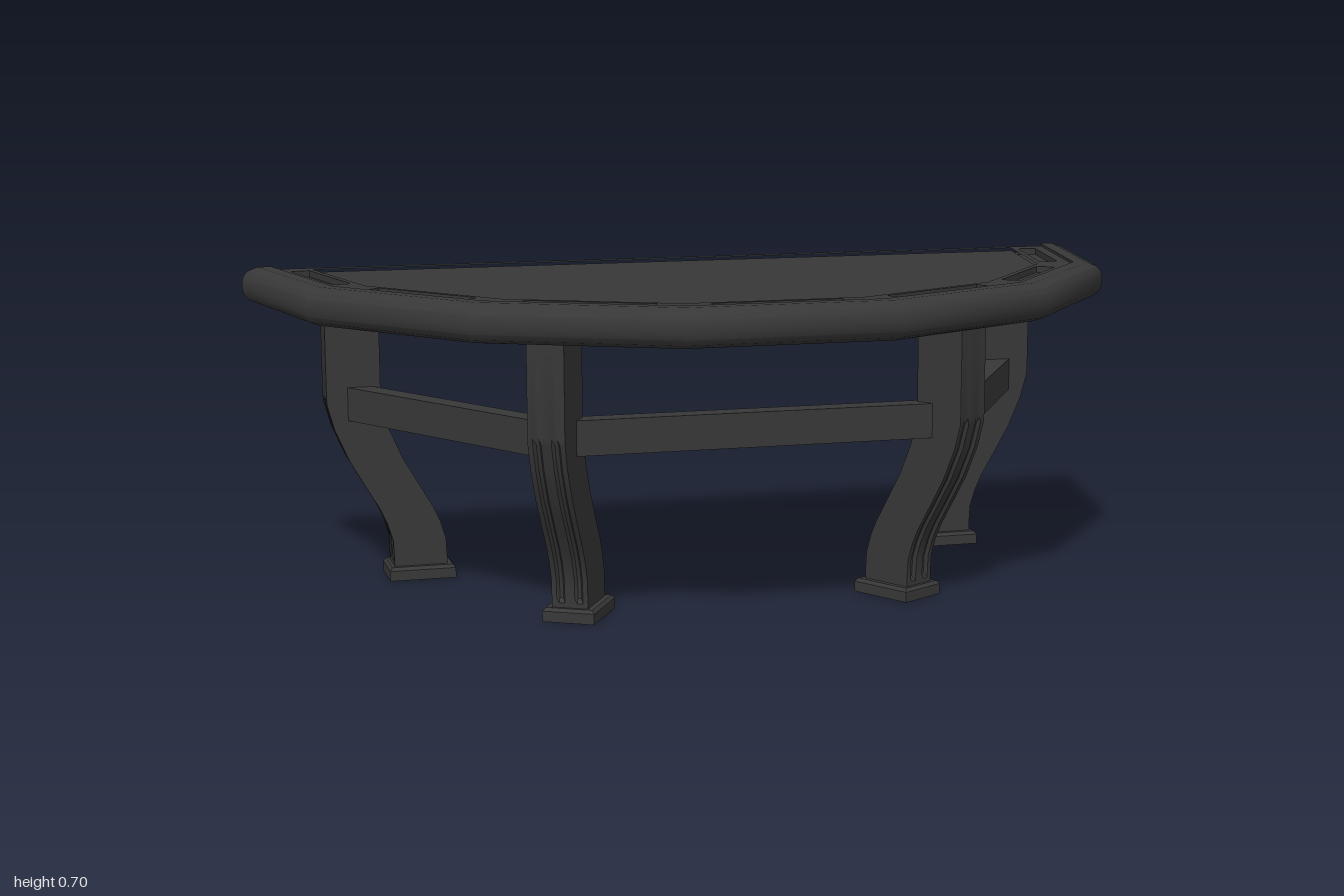
import * as THREE from 'three';
import { toCreasedNormals } from 'three/addons/utils/BufferGeometryUtils.js';

const material = new THREE.MeshStandardMaterial({ color: 0x383838 });

// Plan outline of the top as (x, z), from the back left corner round the front
const half = [[1, -0.49], [0.905, -0.06], [0.624, 0.29], [0.2275, 0.49]];
const outline = [...half, ...half.map(([x, z]) => [-x, z]).reverse()];
const N = outline.length;

// Each edge with its direction and inward normal (the last edge is the straight back)
const edges = outline.map(([x, z], i) => {
  const [x2, z2] = outline[(i + 1) % N];
  const len = Math.hypot(x2 - x, z2 - z);
  const dx = (x2 - x) / len, dz = (z2 - z) / len;
  return { x, z, dx, dz, nx: -dz, nz: dx, mx: (x + x2) / 2, mz: (z + z2) / 2 };
});

// Outline moved inward by d, and by back along the straight edge
function inset(d, back = 0) {
  return edges.map((e, i) => {
    const p = edges[(i + N - 1) % N];
    const de = i === N - 1 ? back : d, dp = i === 0 ? back : d;
    const ex = e.x + e.nx * de, ez = e.z + e.nz * de;
    const px = p.x + p.nx * dp, pz = p.z + p.nz * dp;
    const t = ((ex - px) * e.dz - (ez - pz) * e.dx) / (p.dx * e.dz - p.dz * e.dx);
    return [px + p.dx * t, pz + p.dz * t];
  });
}

// Closed body through a row of equal rings of [x, y, z]
function loft(rings, crease = 0.6) {
  const n = rings[0].length, last = rings.length - 1;
  const verts = rings.flat(2), index = [];
  for (let i = 0; i < last; i++) for (let j = 0; j < n; j++) {
    const a = i * n + j, b = i * n + (j + 1) % n;
    index.push(a, b, a + n, b, b + n, a + n);
  }
  [0, last].forEach((r, end) => {
    const c = verts.length / 3;
    for (let k = 0; k < 3; k++) verts.push(rings[r].reduce((s, p) => s + p[k], 0) / n);
    for (let j = 0; j < n; j++) {
      const a = r * n + j, b = r * n + (j + 1) % n;
      index.push(c, end ? a : b, end ? b : a);
    }
  });
  const g = new THREE.BufferGeometry();
  g.setAttribute('position', new THREE.Float32BufferAttribute(verts, 3));
  g.setIndex(index);
  return toCreasedNormals(g, crease);
}

// Flat plate between two heights, with optional holes
function plate(points, y0, y1, holes = []) {
  const toV2 = (list) => list.map(([x, z]) => new THREE.Vector2(x, -z));
  const shape = new THREE.Shape(toV2(points));
  holes.forEach((h) => shape.holes.push(new THREE.Path(toV2(h))));
  return new THREE.ExtrudeGeometry(shape, { depth: y1 - y0, bevelEnabled: false })
    .rotateX(-Math.PI / 2).translate(0, y0, 0);
}

function add(parent, name, geometry) {
  const mesh = new THREE.Mesh(geometry, material);
  mesh.name = name;
  parent.add(mesh);
  return mesh;
}

// S-curved leg, fluted on its outer and inner faces; local +x points outward
function legGeometry() {
  const depth = 0.06, flute = 0.007;
  const flutes = [[0.04, 0], [0.029, 0], [0.024, 1], [0.016, 1], [0.011, 0]];
  const face = [...flutes, ...flutes.map(([w, g]) => [-w, g]).reverse()];
  // rows of height, outward shift, flute amount
  const rows = [
    [0.02, -0.142, 0], [0.04, -0.142, 0], [0.05, -0.142, 1], [0.09, -0.14, 1],
    [0.13, -0.128, 1], [0.165, -0.112, 1], [0.22, -0.08, 1], [0.28, -0.046, 1],
    [0.35, -0.016, 1], [0.405, -0.001, 1], [0.418, 0, 0], [0.64, 0, 0],
  ];
  return loft(rows.map(([y, s, f]) => {
    const outer = face.map(([w, g]) => [s + depth - g * flute * f, y, w]);
    const inner = face.map(([w, g]) => [s - depth + g * flute * f, y, w]).reverse();
    return [...outer, ...inner];
  }));
}

// Foot block with a chamfered top edge
function footGeometry() {
  return loft([[0, 0], [0.023, 0], [0.03, 0.006]].map(([y, c]) => {
    const a = 0.075 - c, b = 0.0575 - c;
    return [[a, y, b], [a, y, -b], [-a, y, -b], [-a, y, b]];
  }), 0.3);
}

export function createModel() {
  const model = new THREE.Group();
  model.name = 'halfRoundTable';

  // Table top: slab, border with slots, centre panel, rounded rim
  const top = new THREE.Group();
  top.name = 'tableTop';
  model.add(top);
  const slots = edges.slice(0, N - 1).map((e) => {
    const cx = e.mx + e.nx * 0.11, cz = e.mz + e.nz * 0.11;
    return [[1, 1], [1, -1], [-1, -1], [-1, 1]].map(([u, v]) => [
      cx + e.dx * u * 0.138 + e.nx * v * 0.021,
      cz + e.dz * u * 0.138 + e.nz * v * 0.021,
    ]);
  });
  add(top, 'slab', plate(inset(0.05, 0.003), 0.635, 0.682));
  add(top, 'border', plate(inset(0.05, 0.003), 0.682, 0.696, [inset(0.145, 0.033), ...slots]));
  add(top, 'centrePanel', plate(inset(0.145, 0.033), 0.682, 0.69));
  const rimProfile = [
    [0.035, 0.62], [0.012, 0.629], [0.003, 0.641], [0, 0.655], [0, 0.667],
    [0.003, 0.681], [0.012, 0.693], [0.035, 0.702], [0.065, 0.702], [0.065, 0.62],
  ];
  const rimLoops = rimProfile.map(([d]) => inset(d));
  add(top, 'rim', loft(outline.map((_, i) =>
    rimProfile.map(([, y], j) => [rimLoops[j][i][0], y, rimLoops[j][i][1]])), 0.55));

  // Legs
  const legShape = legGeometry(), footShape = footGeometry();
  const frontPos = [0.4325, 0.22], backPos = [0.777, -0.366];
  for (const side of [1, -1]) {
    const label = side > 0 ? 'Left' : 'Right';
    for (const [name, [x, z], angle] of [['front', frontPos, Math.PI / 3], ['back', backPos, 0]]) {
      const leg = new THREE.Group();
      leg.name = `${name}${label}Leg`;
      leg.position.set(side * x, 0, z);
      leg.rotation.y = side > 0 ? -angle : angle - Math.PI;
      add(leg, 'legPost', legShape);
      add(leg, 'foot', footShape).position.x = -0.144;
      model.add(leg);
    }
    // Side stretcher from back leg to front leg
    const ax = 0.785, az = backPos[1], bx = 0.445, bz = 0.197;
    const rail = add(model, `side${label}Stretcher`,
      new THREE.BoxGeometry(0.05, 0.075, Math.hypot(bx - ax, bz - az)));
    rail.position.set(side * (ax + bx) / 2, 0.4075, (az + bz) / 2);
    rail.rotation.y = side * Math.atan2(bx - ax, bz - az);
  }

  // Front stretcher between the front legs
  add(model, 'frontStretcher', new THREE.BoxGeometry(0.8, 0.075, 0.05)).position.set(0, 0.4075, 0.2);
  return model;
}
